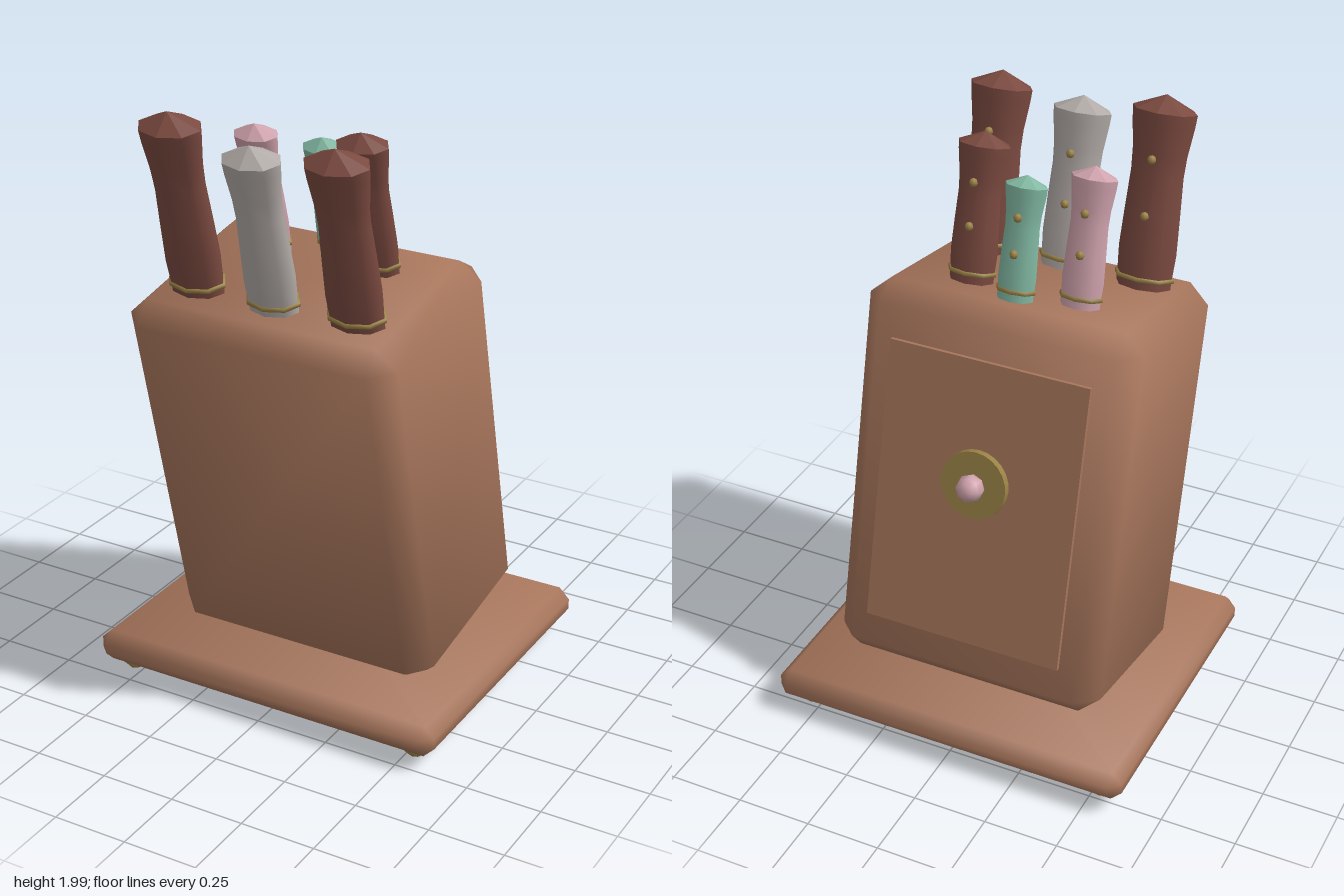
import * as THREE from 'three';
import { ConvexGeometry } from 'three/addons/geometries/ConvexGeometry.js';

const material = (name, color) => {
  const m = new THREE.MeshStandardMaterial({ color });
  m.name = name;
  return m;
};

const TILT = 0.234;   // forward lean of the block
const SHEAR = 0.05;   // top slopes slightly less than the lean
const DEPTH = 0.68;   // handle depth relative to its width

function mesh(name, geometry, mat, parent, x = 0, y = 0, z = 0) {
  const m = new THREE.Mesh(geometry, mat);
  m.name = name;
  m.position.set(x, y, z);
  parent.add(m);
  return m;
}

// Box with one chamfer on every edge and soft normals across it
function chamferBox(half, cut) {
  const points = [];
  for (const sx of [-1, 1]) for (const sy of [-1, 1]) for (const sz of [-1, 1])
    for (let axis = 0; axis < 3; axis++) {
      const s = [sx, sy, sz];
      points.push(new THREE.Vector3(...half.map((h, i) => s[i] * (i === axis ? h : h - cut[i]))));
    }
  const g = new ConvexGeometry(points);
  const p = g.attributes.position;
  for (let i = 0; i < p.count; i++) {
    const n = [p.getX(i), p.getY(i), p.getZ(i)].map((v, k) =>
      Math.sign(v) * (Math.abs(v) > half[k] - cut[k] / 2 ? 1 : 0.39));
    const v = new THREE.Vector3(...n).normalize();
    g.attributes.normal.setXYZ(i, v.x, v.y, v.z);
  }
  return g;
}

const lathe = (points, sides) =>
  new THREE.LatheGeometry(points.map(([r, y]) => new THREE.Vector2(r, y)), sides);

export function createModel() {
  const wood = material('wood', 0xa8765c);
  const brown = material('dark brown', 0x7b4a40);
  const grey = material('warm grey', 0xb2aba7);
  const pink = material('dusty pink', 0xd0a3ad);
  const green = material('sage green', 0x82b9a3);
  const brass = material('brass', 0x9a8246);

  const model = new THREE.Group();
  model.name = 'knifeBlock';

  // Base board and feet
  mesh('baseBoard', chamferBox([0.622, 0.055, 0.536], [0.037, 0.037, 0.037]), wood, model, 0, 0.105, -0.026);
  const footShape = lathe([[0, 0.006], [0.025, 0.014], [0.04, 0.03], [0.04, 0.06]], 8);
  for (const x of [-0.53, 0.53]) for (const z of [-0.467, 0.418])
    mesh('foot', footShape, brass, model, x, 0, z);

  // Leaning body; everything below is placed in its tilted frame
  const body = new THREE.Group();
  body.name = 'leaningBody';
  body.position.set(0, 0.8, 0.05);
  body.rotation.x = TILT;
  model.add(body);

  const block = chamferBox([0.468, 0.645, 0.345], [0.07, 0.063, 0.073]);
  block.applyMatrix4(new THREE.Matrix4().set(1, 0, 0, 0, 0, 1, SHEAR, 0, 0, 0, 1, 0, 0, 0, 0, 1));
  mesh('block', block, wood, body);

  // Back panel with round plate and knob
  mesh('backPanel', new THREE.BoxGeometry(0.684, 0.955, 0.03), wood, body, 0, -0.015, -0.346);
  const plate = mesh('knobPlate', new THREE.CylinderGeometry(0.112, 0.112, 0.03, 24), brass, body, 0, 0.063, -0.372);
  plate.rotation.x = Math.PI / 2;
  const knob = mesh('knob', new THREE.SphereGeometry(0.046, 8, 6), pink, body, 0, 0.06, -0.405);
  knob.rotation.x = -Math.PI / 2;

  // Handle outline: [width factor, fraction of the height up to the rim]
  const outline = [[0.86, 0], [0.87, 0.07], [0.91, 0.2], [0.87, 0.42], [0.82, 0.64], [0.85, 0.76], [0.97, 0.93], [1, 1]];

  function addKnife(name, x, b, length, r, mat) {
    const knife = new THREE.Group();
    knife.name = name;
    knife.position.set(x, 0.645 + SHEAR * b, b);
    body.add(knife);
    const shape = new THREE.Group();
    shape.name = 'handleShape';
    shape.scale.z = DEPTH;
    knife.add(shape);

    const capHeight = r * 0.45;
    const rim = length - capHeight;
    mesh('handle', lathe([[0.86 * r, -0.03], ...outline.map(([w, t]) => [w * r, t * rim])], 8), mat, shape);
    const cap = new THREE.ConeGeometry(r, capHeight, 8, 1, true).toNonIndexed();
    cap.computeVertexNormals();
    mesh('endCap', cap, mat, shape, 0, rim + capHeight / 2, 0);
    mesh('collar', lathe([[0.8 * r, 0.022], [0.94 * r, 0.024], [0.94 * r, 0.036], [0.8 * r, 0.038]], 8), brass, shape);

    // Rivets along the rear of the handle
    for (const [t, w] of [[0.42, 0.87], [0.74, 0.85]])
      mesh('rivet', new THREE.SphereGeometry(0.015, 6, 4), brass, knife, 0, t * rim, -w * r * DEPTH - 0.003);
  }

  addKnife('frontRightKnife', -0.28, 0.158, 0.618, 0.108, brown);
  addKnife('frontLeftKnife', 0.28, 0.158, 0.593, 0.108, brown);
  addKnife('frontMiddleKnife', 0, 0.172, 0.56, 0.1, grey);
  addKnife('backRightKnife', -0.19, -0.14, 0.445, 0.077, pink);
  addKnife('backLeftKnife', 0.186, -0.138, 0.48, 0.089, brown);
  addKnife('backMiddleKnife', 0, -0.21, 0.395, 0.071, green);

  return model;
}
